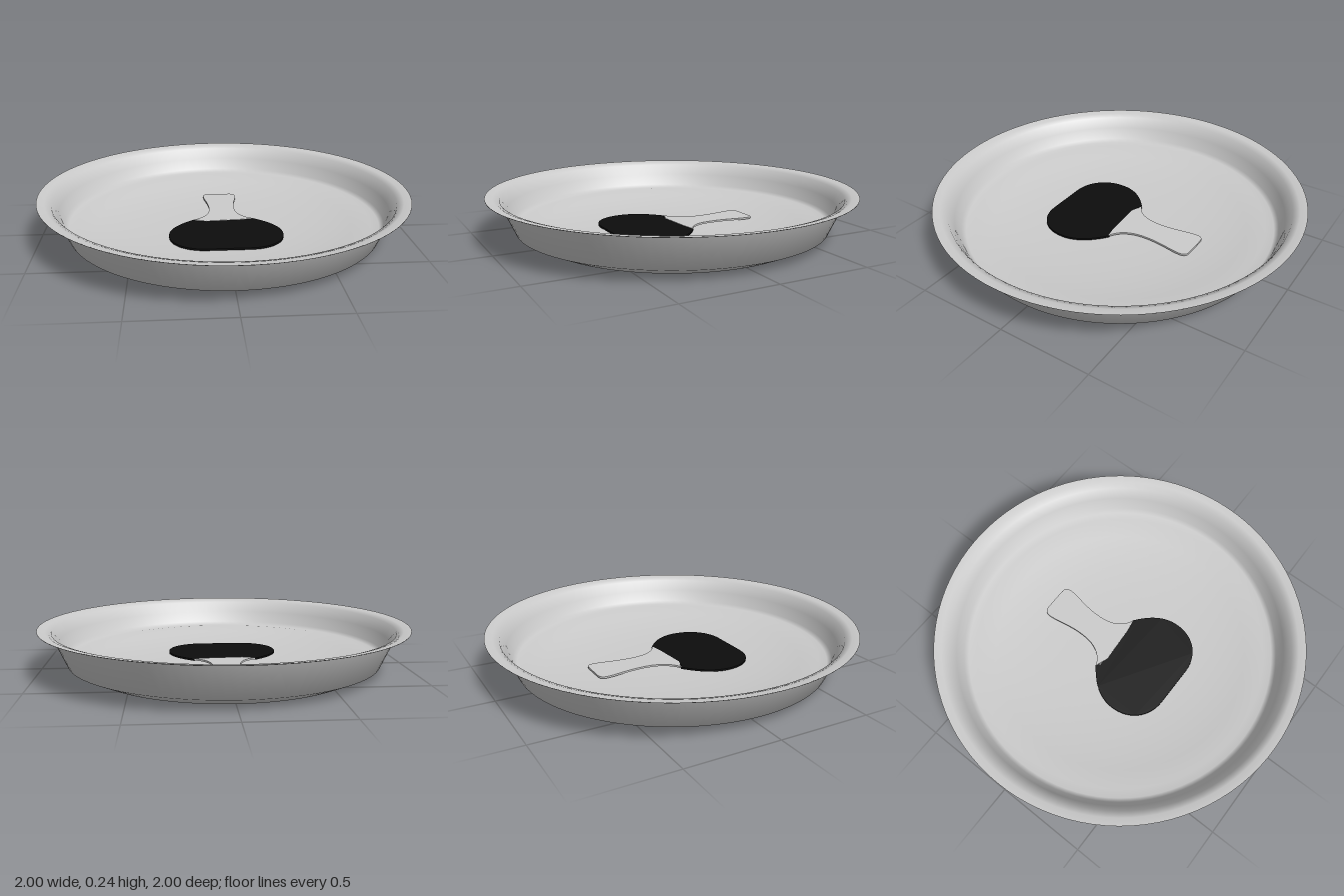
import * as THREE from 'three';

const grey = new THREE.MeshStandardMaterial({ color: 0xcccccc });
const black = new THREE.MeshStandardMaterial({ color: 0x0d0d0d });

const add = (group, name, geometry, material) => {
  const mesh = new THREE.Mesh(geometry, material);
  mesh.name = name;
  group.add(mesh);
  return mesh;
};

const lathe = (points) =>
  new THREE.LatheGeometry(points.map(([r, y]) => new THREE.Vector2(r, y)), 96);

// Flat piece lying in the dish; the shape's y axis becomes -z.
const flatPiece = (shape, y, depth) => {
  const g = new THREE.ExtrudeGeometry(shape, { depth, bevelEnabled: false, curveSegments: 16 });
  return g.rotateX(-Math.PI / 2).translate(0, y, 0);
};

export function createModel() {
  const model = new THREE.Group();

  // Dish: underside, sloped outer wall and shallow bowl inside
  const dish = new THREE.Group();
  dish.name = 'dish';
  add(dish, 'base', lathe([[0, 0], [0.74, 0]]), grey);
  add(dish, 'outerWall', lathe([[0.74, 0], [0.85, 0.05], [0.93, 0.228]]), grey);
  add(dish, 'rim', lathe([[0.93, 0.228], [1, 0.24], [1, 0.243]]), grey);
  const inside = [[1, 0.243], [0.96, 0.238], [0.925, 0.225], [0.895, 0.165], [0.868, 0.1], [0.845, 0.083]];
  for (let i = 8; i >= 0; i--) {
    const r = i * 0.1;
    inside.push([r, 0.024 + 0.078 * (r / 0.87) ** 3]);
  }
  add(dish, 'inside', lathe(inside), grey);
  model.add(dish);

  // Serving utensil: broad rounded blade
  const utensil = new THREE.Group();
  utensil.name = 'utensil';
  const blade = new THREE.Shape();
  blade.moveTo(-0.15, 0.02);
  blade.lineTo(0.17, 0.04);
  blade.bezierCurveTo(0.25, -0.02, 0.305, -0.09, 0.305, -0.18);
  blade.bezierCurveTo(0.305, -0.3, 0.22, -0.378, 0.11, -0.378);
  blade.lineTo(-0.11, -0.378);
  blade.bezierCurveTo(-0.22, -0.378, -0.305, -0.3, -0.305, -0.18);
  blade.bezierCurveTo(-0.305, -0.09, -0.25, -0.02, -0.17, 0.04);
  add(utensil, 'blade', flatPiece(blade, 0.04, 0.01), black);

  // Waisted handle flaring into the blade
  const handle = new THREE.Shape();
  handle.moveTo(-0.1, 0.012);
  handle.lineTo(0.1, 0.025);
  handle.lineTo(0.17, 0.037);
  handle.bezierCurveTo(0.1, 0.07, 0.073, 0.13, 0.073, 0.22);
  handle.bezierCurveTo(0.073, 0.32, 0.098, 0.38, 0.098, 0.435);
  handle.quadraticCurveTo(0.098, 0.475, 0.06, 0.475);
  handle.lineTo(-0.06, 0.475);
  handle.quadraticCurveTo(-0.098, 0.475, -0.098, 0.435);
  handle.bezierCurveTo(-0.098, 0.38, -0.073, 0.32, -0.073, 0.22);
  handle.bezierCurveTo(-0.073, 0.13, -0.1, 0.07, -0.17, 0.037);
  add(utensil, 'handle', flatPiece(handle, 0.042, 0.01), grey);
  model.add(utensil);

  return model;
}
